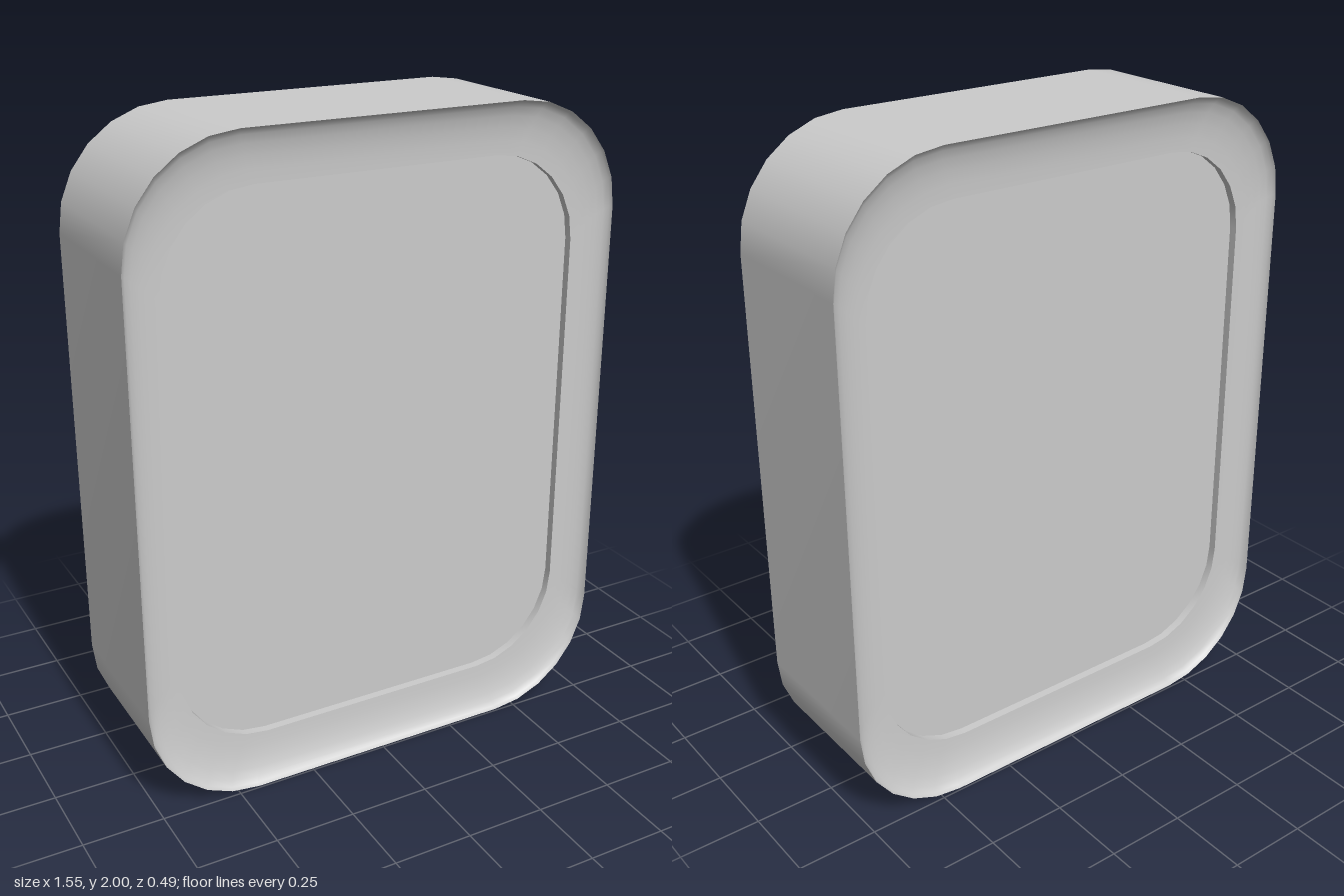
import * as THREE from 'three';

const CORNER_STEPS = 6;

// Rounded rectangle outline, counter-clockwise seen from +z
function outline(halfW, halfH, radius) {
  const points = [];
  const corners = [[1, 1], [-1, 1], [-1, -1], [1, -1]];
  corners.forEach(([sx, sy], c) => {
    for (let i = 0; i <= CORNER_STEPS; i++) {
      const a = (c + i / CORNER_STEPS) * Math.PI / 2;
      points.push(new THREE.Vector2(
        sx * (halfW - radius) + radius * Math.cos(a),
        sy * (halfH - radius) + radius * Math.sin(a)));
    }
  });
  return points;
}

// Smooth closed band joining successive rings, each { points, z }
function band(rings) {
  const n = rings[0].points.length;
  const position = [], index = [];
  rings.forEach(({ points, z }) => points.forEach(p => position.push(p.x, p.y, z)));
  for (let r = 0; r < rings.length - 1; r++) {
    for (let i = 0; i < n; i++) {
      const a = r * n + i, b = r * n + (i + 1) % n;
      index.push(a, a + n, b + n, a, b + n, b);
    }
  }
  const geometry = new THREE.BufferGeometry();
  geometry.setAttribute('position', new THREE.Float32BufferAttribute(position, 3));
  geometry.setIndex(index);
  geometry.computeVertexNormals();
  return geometry;
}

export function createModel() {
  const model = new THREE.Group();
  model.name = 'roundedFrame';
  const material = new THREE.MeshStandardMaterial({ color: 0xcccccc });
  const add = (parent, name, geometry) => {
    const mesh = new THREE.Mesh(geometry, material);
    mesh.name = name;
    parent.add(mesh);
  };

  const halfDepth = 0.243, dishDepth = 0.045, rimZ = halfDepth - dishDepth, panelZ = rimZ - 0.025;
  const outer = { w: 0.775, h: 1, r: 0.34 };
  const inner = { w: 0.66, h: 0.843, r: 0.28 };
  const between = t => outline(
    THREE.MathUtils.lerp(inner.w, outer.w, t),
    THREE.MathUtils.lerp(inner.h, outer.h, t),
    THREE.MathUtils.lerp(inner.r, outer.r, t));

  // Outer wall around the body
  const body = new THREE.Group();
  body.name = 'body';
  body.position.y = 1;
  model.add(body);
  add(body, 'outerWall', band([
    { points: between(1), z: halfDepth },
    { points: between(1), z: -halfDepth },
  ]));

  // Matching front and back faces
  for (const side of ['front', 'back']) {
    const face = new THREE.Group();
    face.name = side + 'Face';
    if (side === 'back') face.rotation.y = Math.PI;
    body.add(face);

    // Concave border rising to the outer edge
    const rings = [];
    for (let i = 0; i <= 6; i++) {
      const a = i / 6 * Math.PI / 2;
      rings.push({ points: between(Math.sin(a)), z: rimZ + dishDepth * (1 - Math.cos(a)) });
    }
    add(face, side + 'Border', band(rings));

    // Small step down to the recessed panel
    add(face, side + 'Step', band([
      { points: between(0), z: panelZ },
      { points: between(0), z: rimZ },
    ]));
    const panel = new THREE.ShapeGeometry(new THREE.Shape(between(0)));
    panel.translate(0, 0, panelZ);
    add(face, side + 'Panel', panel);
  }
  return model;
}
